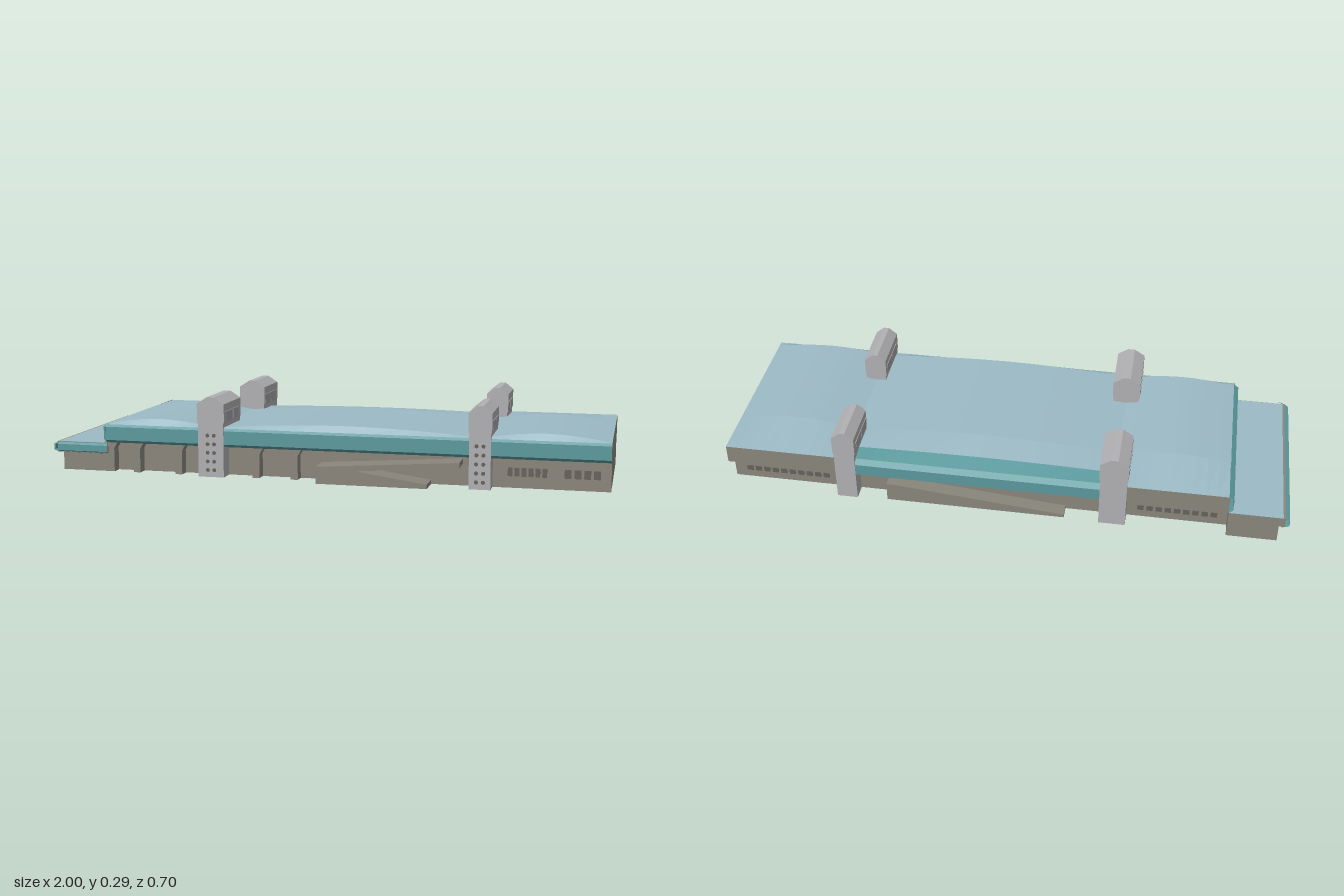
import * as THREE from 'three';

const mat = (name, color, side = THREE.FrontSide) => {
  const m = new THREE.MeshStandardMaterial({ color, side, flatShading: true });
  m.name = name;
  return m;
};

export function createModel() {
  const stone = mat('stone', 0x8a867c);
  const teal = mat('teal trim', 0x5c9a9e, THREE.DoubleSide);
  const roofBlue = mat('pale blue roof', 0x9cbac5, THREE.DoubleSide);
  const grey = mat('tower grey', 0xb1b0b3);
  const pane = mat('tower pane', 0xa3a3a7);
  const dark = mat('window shade', 0x66635c);

  const model = new THREE.Group();
  model.name = 'building';

  const add = (name, geo, material, parent = model) => {
    const m = new THREE.Mesh(geo, material);
    m.name = name;
    parent.add(m);
    return m;
  };
  // box given by its limits
  const box = (name, x0, x1, y0, y1, z0, z1, material, parent) => {
    const m = add(name, new THREE.BoxGeometry(x1 - x0, y1 - y0, z1 - z0), material, parent);
    m.position.set((x0 + x1) / 2, (y0 + y1) / 2, (z0 + z1) / 2);
    return m;
  };
  // outline in x, y pushed from z0 to z1
  const prism = (name, pts, z0, z1, material, parent) => {
    const shape = new THREE.Shape(pts.map(([x, y]) => new THREE.Vector2(x, y)));
    const g = new THREE.ExtrudeGeometry(shape, { depth: z1 - z0, bevelEnabled: false });
    g.translate(0, 0, z0);
    return add(name, g, material, parent);
  };
  // outline in z, y pushed along x
  const prismX = (name, pts, x0, x1, material) => {
    const m = prism(name, pts.map(([z, y]) => [-z, y]), x0, x1, material);
    m.geometry.rotateY(Math.PI / 2);
    return m;
  };
  // open surface through matching rows of points
  const strip = (name, rows, material) => {
    const p = [];
    for (let i = 0; i < rows.length - 1; i++) {
      for (let j = 0; j < rows[i].length - 1; j++) {
        const a = rows[i][j], b = rows[i + 1][j], c = rows[i + 1][j + 1], d = rows[i][j + 1];
        p.push(...a, ...b, ...c, ...a, ...c, ...d);
      }
    }
    const g = new THREE.BufferGeometry();
    g.setAttribute('position', new THREE.Float32BufferAttribute(p, 3));
    g.computeVertexNormals();
    return add(name, g, material);
  };

  // lower storey and side wing
  box('lowerStorey', -0.8, 1, 0, 0.107, -0.295, 0.26, stone);
  box('wingBody', -0.965, -0.79, 0, 0.07, -0.349, 0.3, stone);
  box('wingSlab', -0.985, -0.79, 0.066, 0.104, -0.35, 0.308, stone);

  // upper storey, overhanging front and back
  const front = [[0.303, 0.107], [0.317, 0.118], [0.317, 0.168], [0.312, 0.174]];
  const squareBack = [[-0.35, 0.174], [-0.35, 0.107]];
  const slopedBack = [[-0.27, 0.174], [-0.333, 0.163], [-0.347, 0.15], [-0.347, 0.107]];
  prismX('upperStoreyRight', [...front, ...squareBack], 0.565, 1, stone);
  prismX('upperStoreyMiddle', [...front, ...slopedBack], -0.39, 0.565, stone);
  prismX('upperStoreyLeft', [...front, ...squareBack], -0.79, -0.39, stone);

  // three shallow vaults in the roof, with valleys at the towers
  const vault = (name, x0, x1, rise0, backZ, backK) => {
    const rows = [];
    for (let i = 0; i <= 10; i++) {
      const t = i / 10, x = x0 + (x1 - x0) * t;
      const b = 0.0215 * Math.sin(Math.PI * t) + rise0 * (1 - t);
      rows.push([[x, 0.175, 0.316], [x, 0.175 + b, 0.295], [x, 0.175 + b, -0.17],
        [x, 0.175 + b * backK, backZ]]);
    }
    strip(name, rows, roofBlue);
    return rows;
  };
  vault('roofLeft', -0.787, -0.39, 0.002, -0.351, 0);
  const middle = vault('roofMiddle', -0.39, 0.565, 0, -0.28, 0.4);
  vault('roofRight', 0.565, 1, 0, -0.351, 0);

  // teal trim bands
  const band = [[0.107, 0.304], [0.118, 0.32], [0.166, 0.32], [0.175, 0.316]];
  strip('frontBand', [-0.79, 1].map(x => band.map(([y, z]) => [x, y, z])), teal);
  strip('backBand', middle.map(r => {
    const [x, y, z] = r[3];
    return [[x, y, z], [x, 0.167, -0.335], [x, 0.15, -0.351], [x, 0.107, -0.351]];
  }), teal);
  const ends = [[-0.351, 0], [0.304, 0], [0.318, 0.012]];
  const edge = (name, pts) => strip(name,
    ends.map(([z, dx]) => pts.map(([x, y]) => [x + dx, y, z])), teal);
  edge('leftBand', [[-0.79, 0.105], [-0.804, 0.118], [-0.804, 0.165], [-0.786, 0.177]]);
  edge('wingBand', [[-0.975, 0.064], [-1, 0.072], [-1, 0.095], [-0.975, 0.105]]);
  strip('wingFrontBand', [-0.98, -0.79].map(x =>
    [[x, 0.064, 0.3], [x, 0.072, 0.315], [x, 0.095, 0.315], [x, 0.105, 0.305]]), teal);
  strip('wingRoof', [-0.977, -0.79].map(x => [[x, 0.105, 0.306], [x, 0.105, -0.351]]), roofBlue);

  // four gabled towers, each a shaft with a head reaching over the roof
  for (const [x, h] of [[-0.39, 0.05], [0.565, 0.04]]) {
    for (const s of [1, -1]) {
      const t = new THREE.Group();
      t.name = s > 0 ? 'frontTower' : 'backTower';
      t.position.x = x;
      model.add(t);
      const w = h - 0.003;
      const gable = [[h, 0.262], [h * 0.25, 0.286], [-h * 0.25, 0.286], [-h, 0.262]];
      const outer = s > 0 ? 0.321 : -0.352, wall = s > 0 ? 0.255 : -0.29;
      const inner = s > 0 ? 0.13 : -0.175;
      const head = [[-h, 0.2], [-w, 0.19], [-w, 0.16], [w, 0.16], [w, 0.19], [h, 0.2], ...gable];
      prism('towerHead', head, Math.min(outer, inner), Math.max(outer, inner), grey, t);
      box('towerShaft', -w, w, 0, 0.17, Math.min(outer, wall), Math.max(outer, wall), grey, t);
      // framed side panes
      for (const side of [-1, 1]) {
        for (const d of [0.06, 0.135]) {
          const z = outer - s * d;
          box('sidePane', side * h - 0.001, side * h + 0.001, 0.198, 0.232, z - 0.031, z + 0.031, pane, t);
        }
        box('paneLintel', side * h - 0.002, side * h + 0.002, 0.232, 0.235,
          Math.min(outer - s * 0.02, outer - s * 0.17), Math.max(outer - s * 0.02, outer - s * 0.17), grey, t);
      }
      // column of small round windows on the front face
      if (s > 0) {
        for (let i = 0; i < 5; i++) {
          for (const dx of [-0.012, 0.012]) {
            const m = add('roundWindow', new THREE.CylinderGeometry(0.007, 0.007, 0.002, 10), dark, t);
            m.rotation.x = Math.PI / 2;
            m.position.set(dx, 0.025 + i * 0.031, outer);
          }
        }
      }
    }
  }

  // flared columns along the front
  for (const x of [-0.78, -0.68, -0.52, -0.23, -0.09]) {
    prism('frontColumn', [[x - 0.013, 0], [x + 0.013, 0], [x + 0.013, 0.085], [x + 0.026, 0.107],
      [x - 0.026, 0.107], [x - 0.013, 0.085]], 0.255, 0.3, stone);
  }

  // folded ramps on the front and the back
  prism('frontRamp', [[0, 0], [0.39, 0], [0.39, 0.015], [0.14, 0.05], [0.5, 0.077], [0.5, 0.095], [0, 0.06]],
    0.255, 0.351, stone);
  prism('backRamp', [[-0.22, 0], [0.42, 0], [0.42, 0.07], [0.39, 0.07], [-0.22, 0.012]], -0.345, -0.29, stone);

  // window rows
  const windows = (x0, x1, n, y0, y1, z) => {
    const step = (x1 - x0) / n;
    for (let i = 0; i < n; i++) {
      const x = x0 + step * i;
      box('window', x + step * 0.15, x + step * 0.85, y0, y1, z - 0.002, z + 0.002, dark);
    }
  };
  windows(0.65, 0.79, 6, 0.04, 0.07, 0.26);
  windows(0.84, 0.97, 4, 0.04, 0.07, 0.26);
  for (const y of [0.03, 0.07]) {
    windows(-0.76, -0.47, 9, y, y + 0.02, -0.295);
    windows(0.64, 0.96, 10, y, y + 0.02, -0.295);
  }
  windows(-0.32, 0.5, 16, 0.08, 0.097, -0.295);

  return model;
}
